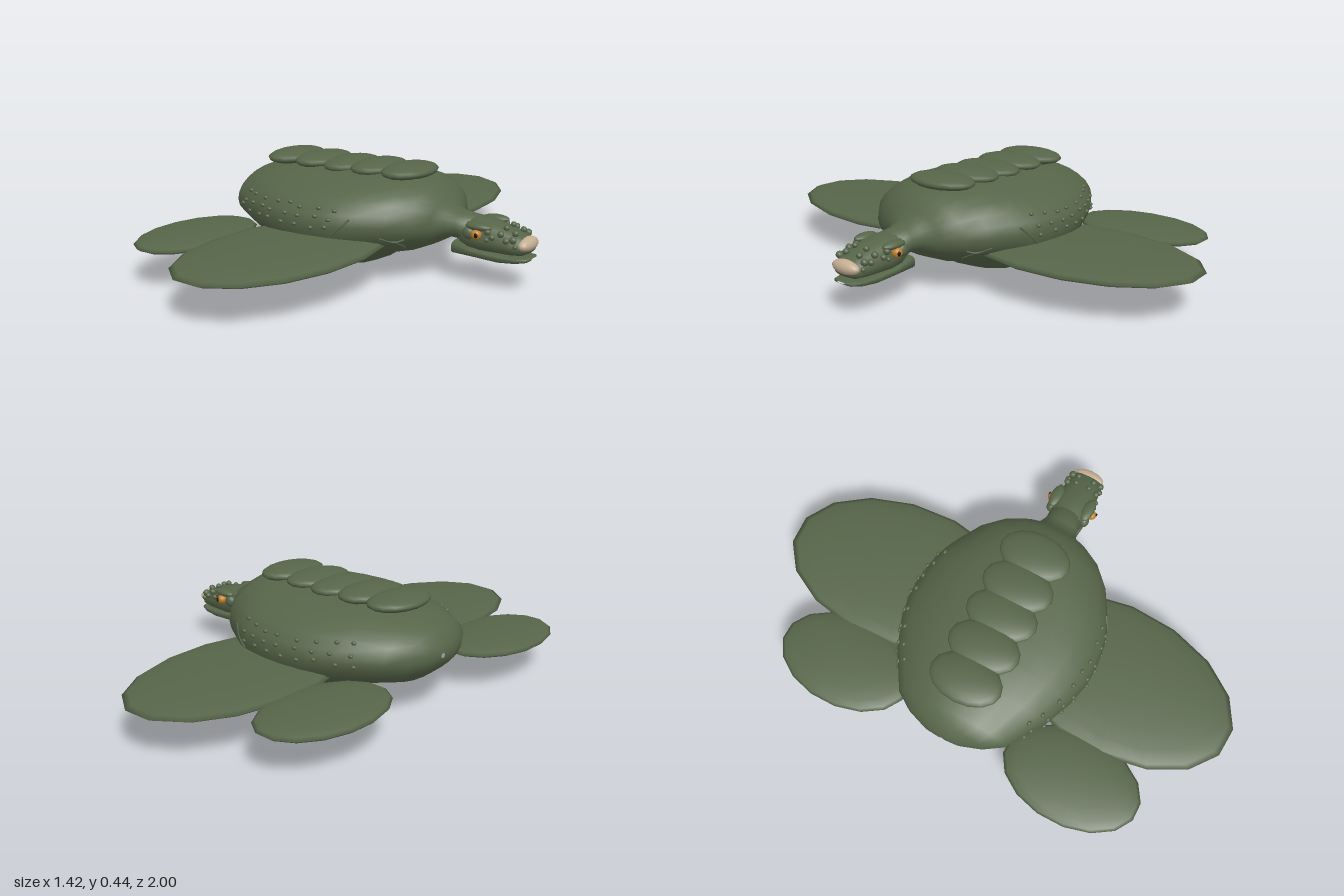
import * as THREE from 'three';

const mat = (name, color) => {
  const m = new THREE.MeshStandardMaterial({ color });
  m.name = name;
  return m;
};

// Stations along the animal: x, top y, bottom y, half width, y of the widest line
const BODY = [
  [-0.637, 0.25, 0.23, 0.01, 0.24], [-0.63, 0.28, 0.2, 0.08, 0.24], [-0.6, 0.325, 0.17, 0.165, 0.24],
  [-0.55, 0.358, 0.13, 0.24, 0.24], [-0.4, 0.39, 0.09, 0.335, 0.24], [-0.28, 0.4, 0.052, 0.385, 0.24],
  [-0.18, 0.404, 0.012, 0.408, 0.24], [-0.09, 0.406, 0.001, 0.41, 0.24], [0.0, 0.406, 0.012, 0.398, 0.24],
  [0.06, 0.406, 0.035, 0.38, 0.24], [0.12, 0.405, 0.075, 0.352, 0.24], [0.22, 0.397, 0.1, 0.295, 0.24],
  [0.29, 0.37, 0.13, 0.228, 0.235], [0.335, 0.325, 0.155, 0.155, 0.23], [0.36, 0.288, 0.17, 0.09, 0.225],
  [0.4, 0.275, 0.165, 0.073, 0.22], [0.46, 0.268, 0.16, 0.073, 0.215], [0.47, 0.215, 0.21, 0.005, 0.213],
];
const HEAD = [
  [0.4, 0.21, 0.2, 0.01, 0.205], [0.41, 0.26, 0.155, 0.06, 0.2], [0.45, 0.266, 0.142, 0.078, 0.195],
  [0.51, 0.262, 0.138, 0.088, 0.19], [0.57, 0.248, 0.138, 0.08, 0.185], [0.62, 0.233, 0.138, 0.074, 0.18],
  [0.665, 0.215, 0.142, 0.066, 0.175], [0.69, 0.195, 0.155, 0.045, 0.172], [0.695, 0.175, 0.17, 0.01, 0.172],
];
const JAW = [
  [0.382, 0.14, 0.135, 0.01, 0.137], [0.383, 0.165, 0.112, 0.066, 0.14], [0.48, 0.15, 0.112, 0.075, 0.135],
  [0.58, 0.142, 0.107, 0.074, 0.13], [0.65, 0.136, 0.113, 0.066, 0.13], [0.69, 0.139, 0.122, 0.05, 0.131],
  [0.702, 0.136, 0.13, 0.02, 0.133],
];

// Joins elliptical cross-sections; power under 1 squares them off
function loft(stations, sides, power = 1) {
  const pos = [], index = [];
  const soft = (v) => Math.sign(v) * Math.abs(v) ** power;
  for (const [x, top, bottom, w, mid] of stations) {
    for (let j = 0; j < sides; j++) {
      const a = (j / sides) * Math.PI * 2;
      const s = soft(Math.sin(a));
      pos.push(x, mid + s * (s > 0 ? top - mid : mid - bottom), soft(Math.cos(a)) * w);
    }
  }
  for (let i = 0; i < stations.length - 1; i++) {
    for (let j = 0; j < sides; j++) {
      const k = (j + 1) % sides;
      const a = i * sides + j, b = a + sides, c = (i + 1) * sides + k, d = i * sides + k;
      index.push(a, b, c, a, c, d);
    }
  }
  const g = new THREE.BufferGeometry();
  g.setAttribute('position', new THREE.Float32BufferAttribute(pos, 3));
  g.setIndex(index);
  g.computeVertexNormals();
  return g;
}

// Point on the flank of the body at a given x and y
function onBody(x, y, side) {
  const i = Math.max(1, BODY.findIndex((s) => s[0] >= x));
  const p = BODY[i - 1], q = BODY[i], t = (x - p[0]) / (q[0] - p[0]);
  const [, top, bottom, w, mid] = p.map((v, k) => v + (q[k] - v) * t);
  const f = (y - mid) / (y > mid ? top - mid : mid - bottom);
  return new THREE.Vector3(x, y, side * w * Math.sqrt(Math.max(0, 1 - f * f)));
}

export function createModel() {
  const model = new THREE.Group();
  model.name = 'turtle';
  const skin = mat('moss green', 0x566549);
  const horn = mat('beak beige', 0xc4ad92);
  const amber = mat('eye amber', 0xc07f2a);
  const dark = mat('pupil black', 0x15130f);

  const add = (name, geometry, material, parent = model) => {
    const mesh = new THREE.Mesh(geometry, material);
    mesh.name = name;
    parent.add(mesh);
    return mesh;
  };
  const ball = new THREE.SphereGeometry(1, 16, 12);
  const pebble = new THREE.SphereGeometry(1, 8, 6);
  const blob = (name, p, s, material = skin, geometry = ball) => {
    const mesh = add(name, geometry, material);
    mesh.position.set(...p);
    mesh.scale.set(...s);
    return mesh;
  };

  // Shell, belly and neck
  add('body', loft(BODY, 24), skin);

  // Overlapping plates along the back
  [-0.42, -0.275, -0.13, 0.005, 0.152].forEach((x, i) =>
    blob(`backPlate${i + 1}`, [x, i === 2 ? 0.403 : 0.406, 0], [0.1, 0.031, 0.15]));

  // Head, jaw and beak tip
  add('head', loft(HEAD, 16, 0.8), skin);
  add('lowerJaw', loft(JAW, 16, 0.6), skin);
  blob('beakTip', [0.676, 0.186, 0], [0.03, 0.028, 0.067], horn);

  // Flipper outline with sixteen sides and a flat tip
  const paddle = new THREE.SphereGeometry(1, 16, 10).rotateY(Math.PI / 16);

  let seed = 7;
  const random = () => (seed = (seed * 16807) % 2147483647) / 2147483647;

  for (const side of [1, -1]) {
    const label = side > 0 ? 'right' : 'left';
    // Flippers
    const front = blob(`${label}FrontFlipper`, [-0.08, 0.162, side * 0.5], [0.312, 0.036, 0.508], skin, paddle);
    front.rotation.y = side * -0.07;
    blob(`${label}RearFlipper`, [-0.525, 0.155, side * 0.515], [0.188, 0.031, 0.29], skin, paddle);

    // Eyes, pupils and brows
    blob(`${label}Eye`, [0.505, 0.217, side * 0.092], [0.021, 0.02, 0.021], amber);
    blob(`${label}Pupil`, [0.513, 0.218, side * 0.111], [0.008, 0.01, 0.004], dark, pebble);
    blob(`${label}Brow`, [0.505, 0.244, side * 0.075], [0.055, 0.016, 0.026]);
    blob(`${label}Cheek`, [0.465, 0.215, side * 0.078], [0.025, 0.026, 0.02]);

    // Warts on the head and snout
    const warts = [[0.545, 0.23, 0.08, 0.014], [0.565, 0.212, 0.082, 0.012], [0.545, 0.2, 0.087, 0.009],
      [0.595, 0.226, 0.068, 0.014], [0.62, 0.205, 0.074, 0.013], [0.645, 0.21, 0.066, 0.015],
      [0.64, 0.228, 0.035, 0.013], [0.6, 0.243, 0.03, 0.012], [0.655, 0.185, 0.068, 0.01]];
    for (const [x, y, z, r] of warts) blob(`${label}HeadWart`, [x, y, side * z], [r, r, r], skin, pebble);

    // Rows of small knobs along the flank
    for (let row = 0; row < 3; row++) {
      for (let i = 0; i < 8; i++) {
        const x = -0.47 + i * 0.07 + row * 0.012 + (random() - 0.5) * 0.025;
        const p = onBody(x, 0.235 + row * 0.034 + (random() - 0.5) * 0.015, side);
        blob(`${label}Knob`, p.toArray(), [0.011, 0.008, 0.008], skin, pebble);
      }
    }

    // Thin raised creases near the shoulder
    const creases = [[[0.03, 0.195], [0.065, 0.23], [0.105, 0.272]], [[0.2, 0.2], [0.24, 0.18], [0.27, 0.19]],
      [[0.24, 0.18], [0.25, 0.15], [0.235, 0.135]]];
    for (const crease of creases) {
      const path = new THREE.CatmullRomCurve3(crease.map(([x, y]) => onBody(x, y, side)));
      add(`${label}Crease`, new THREE.TubeGeometry(path, 8, 0.004, 5), skin);
    }
  }
  return model;
}
